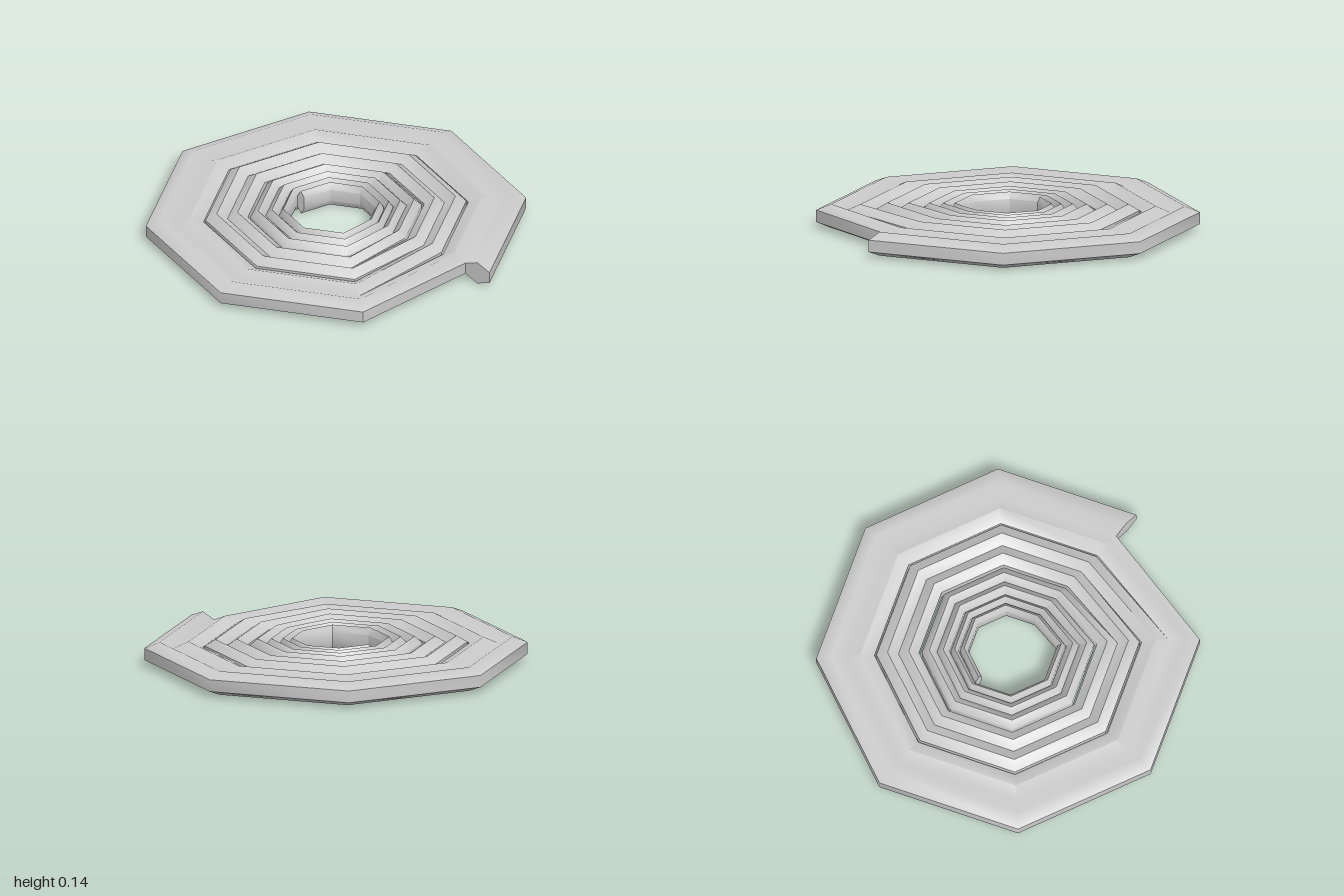
import * as THREE from 'three';
import { toCreasedNormals } from 'three/addons/utils/BufferGeometryUtils.js';

const SIDES = 6;
const CORNERS = 8;                          // corners per turn
const START = THREE.MathUtils.degToRad(76.5);

// one entry per turn, outermost first: outer radius, inner radius, height
const TURNS = [
  [1.028, 0.866, 0.13], [0.866, 0.716, 0.13],
  [0.705, 0.587, 0.14], [0.587, 0.477, 0.14],
  [0.462, 0.381, 0.14], [0.381, 0.313, 0.14],
  [0.307, 0.264, 0.14], [0.258, 0.213, 0.14],
];

// hexagonal section with upright sides and a ridge above and below
function section([outer, inner, height]) {
  const mid = (outer + inner) / 2;
  return [
    [outer, height * 0.25], [outer, height * 0.75], [mid, height],
    [inner, height * 0.75], [inner, height * 0.25], [mid, 0],
  ];
}

function coilGeometry() {
  const positions = [];
  const index = [];
  const last = 7 * CORNERS + 4;             // seven turns and a half

  // sections at each corner; the radius steps inward once per turn
  for (let i = 0; i <= last; i++) {
    const angle = START - (i * Math.PI * 2) / CORNERS;
    for (const [r, y] of section(TURNS[Math.floor(i / CORNERS)])) {
      positions.push(r * Math.cos(angle), y, r * Math.sin(angle));
    }
  }

  // skin between neighbouring sections
  for (let i = 0; i < last; i++) {
    for (let j = 0; j < SIDES; j++) {
      const a = i * SIDES + j;
      const b = i * SIDES + ((j + 1) % SIDES);
      index.push(a, a + SIDES, b, b, a + SIDES, b + SIDES);
    }
  }

  // end caps
  const end = last * SIDES;
  for (let j = 1; j < SIDES - 1; j++) {
    index.push(0, j, j + 1);
    index.push(end, end + j + 1, end + j);
  }

  const geometry = new THREE.BufferGeometry();
  geometry.setAttribute('position', new THREE.Float32BufferAttribute(positions, 3));
  geometry.setIndex(index);
  return toCreasedNormals(geometry, THREE.MathUtils.degToRad(50));
}

export function createModel() {
  const group = new THREE.Group();
  group.name = 'spiralCoil';
  const coil = new THREE.Mesh(
    coilGeometry(),
    new THREE.MeshStandardMaterial({ color: 0xcccccc })
  );
  coil.name = 'coil';
  group.add(coil);
  return group;
}
